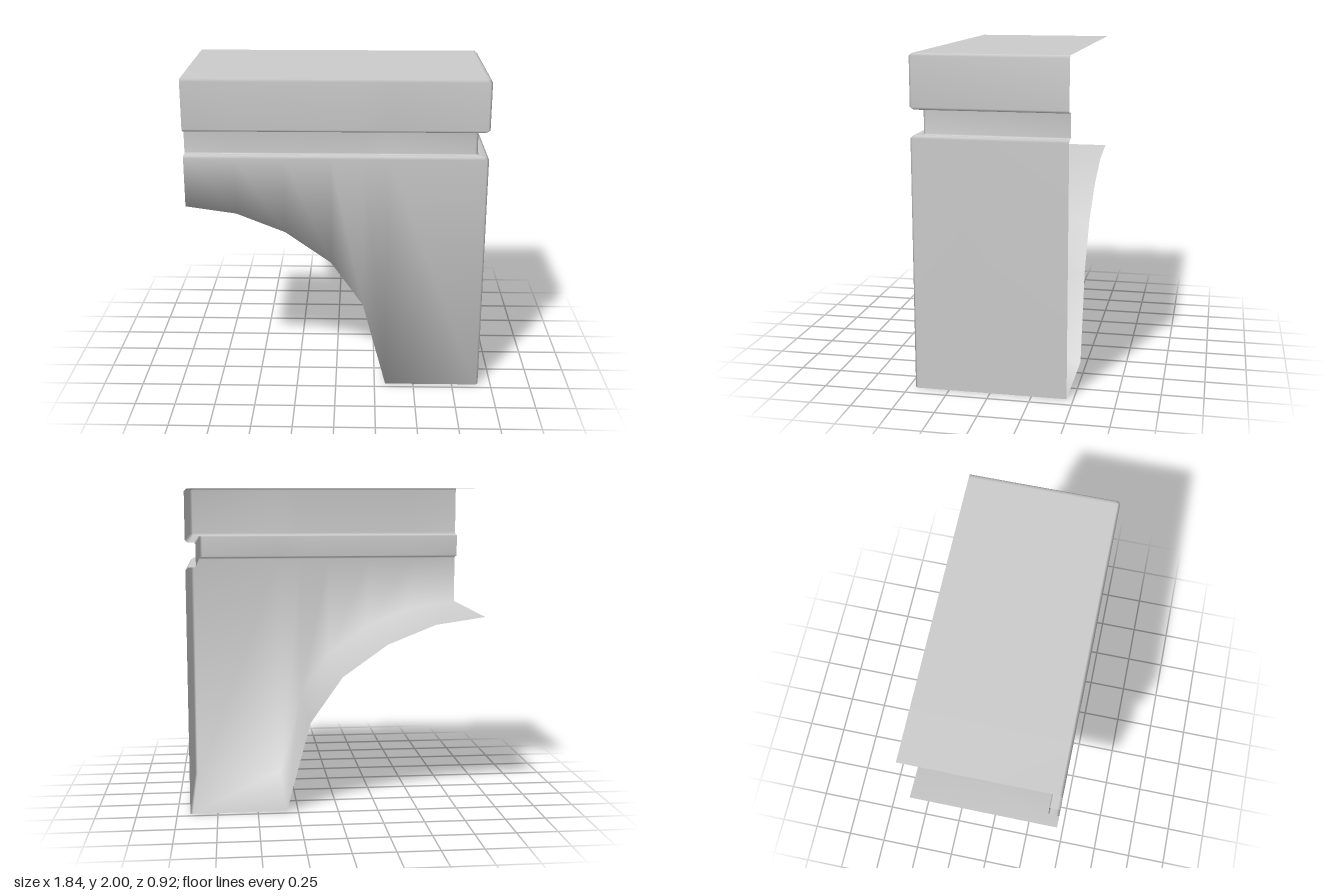
import * as THREE from 'three';
import { mergeVertices } from 'three/addons/utils/BufferGeometryUtils.js';

const X = 0.92, Z = 0.46, BEVEL = 0.015, GROOVE = 0.063;

// Underside of the half arch: x, y from the open end to the foot
const arch = [[-X, 1.21], [-0.61, 1.165], [-0.31, 1.045], [-0.03, 0.845], [0.17, 0.56], [0.32, 0]];

// Stations run along the front wall, round the bevelled corner and back along the side.
// Each gives a plan point for an inset, and the height of the lower edge.
const stations = [
  ...arch.map(([x, y]) => ({ at: (d) => [x, Z - d], low: y })),
  { at: (d) => [X - d - BEVEL, Z - d], low: 0 },
  { at: (d) => [X - d, Z - d - BEVEL], low: 0 },
  { at: (d) => [X - d, -Z], low: 0 },
];

// Row makers: a moulding line, and a line on the open back edge
const line = (inset, y) => (s) => { const [x, z] = s.at(inset); return [x, y, z]; };
const backLine = (inset, y) => (s) => [s.at(inset)[0], y ?? s.low, -Z];
const lowLine = (s) => { const [x, z] = s.at(0); return [x, s.low, z]; };

// Open shell through the rows, listed from top to bottom
function shell(name, rows) {
  const n = stations.length, position = [], index = [];
  rows.forEach((row, r) => stations.forEach((s, i) => {
    position.push(...row(s));
    if (r === rows.length - 1 || i === n - 1) return;
    const a = r * n + i, b = a + 1, c = a + n, d = c + 1;
    index.push(a, c, d, a, d, b);
  }));
  let geometry = new THREE.BufferGeometry();
  geometry.setAttribute('position', new THREE.Float32BufferAttribute(position, 3));
  geometry.setIndex(index);
  geometry = mergeVertices(geometry, 1e-4);
  geometry.computeVertexNormals();
  const material = new THREE.MeshStandardMaterial({ color: 0xcccccc, side: THREE.DoubleSide });
  const mesh = new THREE.Mesh(geometry, material);
  mesh.name = name;
  return mesh;
}

export function createModel() {
  const group = new THREE.Group();
  group.name = 'halfArchBlock';

  // Top slab with bevelled edges and the recessed band below it
  group.add(shell('capAndGroove', [
    backLine(BEVEL, 2),
    line(BEVEL, 2), line(0, 2 - BEVEL),
    line(0, 1.68 + BEVEL), line(BEVEL, 1.68),
    line(GROOVE - 0.008, 1.68), line(GROOVE, 1.672),
    line(GROOVE, 1.538), line(GROOVE - 0.008, 1.53),
  ]));

  // Wall and pier with the arch soffit and foot
  group.add(shell('archedPier', [
    line(GROOVE - 0.008, 1.53),
    line(BEVEL, 1.53), line(0, 1.53 - BEVEL),
    lowLine, backLine(0),
  ]));

  return group;
}
